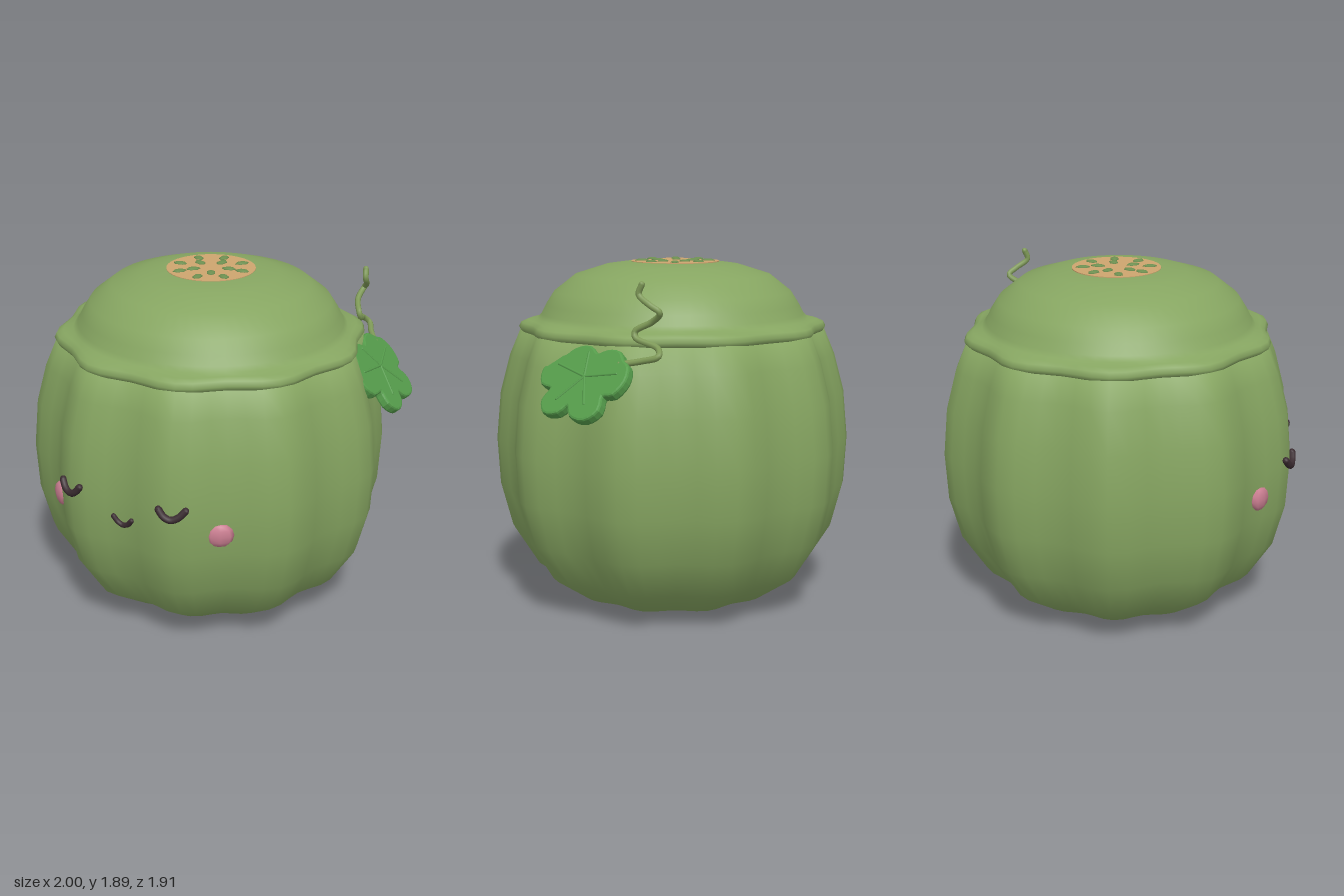
import * as THREE from 'three';
import { mergeVertices } from 'three/addons/utils/BufferGeometryUtils.js';

const mat = (name, color) => {
  const m = new THREE.MeshStandardMaterial({ color });
  m.name = name;
  return m;
};
const V = (x, y, z) => new THREE.Vector3(x, y, z);
const CX = -0.02, CZ = -0.02; // axis of the jar
const LOBES = 10;

// radius factor of the ribbed outline
const rib = (theta, depth) => 1 - depth * (1 - Math.cos(LOBES * theta)) / 2;

const BODY = [
  [0, 0], [0.32, 0], [0.56, 0.05], [0.77, 0.19], [0.905, 0.4], [0.968, 0.64],
  [0.982, 0.9], [0.957, 1.16], [0.9, 1.37], [0.84, 1.51], [0.7, 1.55],
];
const LID = [
  [0.7, 1.5], [0.8, 1.492], [0.836, 1.502], [0.848, 1.525], [0.835, 1.55], [0.8, 1.565],
  [0.745, 1.575], [0.72, 1.6], [0.695, 1.65], [0.65, 1.72], [0.535, 1.81],
  [0.37, 1.862], [0.24, 1.88], [0, 1.88],
];

// lathe whose radius follows the ribs; depth is a function of the radius
function ribbedLathe(profile, depth) {
  let geo = new THREE.LatheGeometry(profile.map(([r, y]) => new THREE.Vector2(r, y)), 60);
  const p = geo.attributes.position;
  for (let i = 0; i < p.count; i++) {
    const x = p.getX(i), z = p.getZ(i);
    const f = rib(Math.atan2(z, x), depth(Math.hypot(x, z)));
    p.setXYZ(i, x * f, p.getY(i), z * f);
  }
  geo.deleteAttribute('uv');
  geo.deleteAttribute('normal');
  geo = mergeVertices(geo, 1e-4);
  geo.computeVertexNormals();
  return geo;
}

// point on the front of the body at a given x and y
function onFront(x, y, lift = 0) {
  const i = BODY.findIndex((b) => b[1] > y);
  const [r0, y0] = BODY[i - 1], [r1, y1] = BODY[i];
  const R = r0 + (r1 - r0) * (y - y0) / (y1 - y0);
  const dx = x - CX;
  let z = R;
  for (let k = 0; k < 8; k++) {
    const r = R * rib(Math.atan2(z, dx), 0.075) + lift;
    z = Math.sqrt(r * r - dx * dx);
  }
  return V(x, y, z + CZ);
}

// tube with rounded ends
function cord(name, points, radius, material, segments = 20) {
  const g = new THREE.Group();
  g.name = name;
  const curve = new THREE.CatmullRomCurve3(points);
  g.add(new THREE.Mesh(new THREE.TubeGeometry(curve, segments, radius, 8), material));
  for (const end of [points[0], points[points.length - 1]]) {
    const cap = new THREE.Mesh(new THREE.SphereGeometry(radius, 8, 6), material);
    cap.position.copy(end);
    g.add(cap);
  }
  g.children.forEach((c) => { c.name = name + 'Part'; });
  return g;
}

export function createModel() {
  const model = new THREE.Group();
  model.name = 'melonJar';
  const green = mat('melon green', 0x86a561);
  const leafGreen = mat('leaf green', 0x559c4b);
  const vineGreen = mat('vine green', 0x7f9a58);
  const seedGreen = mat('seed green', 0x6c8f50);
  const tan = mat('tan', 0xcda46e);
  const pink = mat('blush pink', 0xc97d90);
  const dark = mat('dark brown', 0x3a2b30);
  const add = (name, geo, material, parent = model) => {
    const m = new THREE.Mesh(geo, material);
    m.name = name;
    parent.add(m);
    return m;
  };

  // jar and lid
  const body = add('body', ribbedLathe(BODY, () => 0.075), green);
  body.position.set(CX, 0, CZ);
  const lid = add('lid', ribbedLathe(LID, (r) => 0.055 * THREE.MathUtils.smoothstep(r, 0.72, 0.83)), green);
  lid.position.set(CX, 0, CZ);

  // tan patch with two rings of seeds
  const patch = add('topPatch', new THREE.CylinderGeometry(0.24, 0.24, 0.008, 40), tan);
  patch.position.set(-0.027, 1.879, -0.033);
  const seedGeo = new THREE.SphereGeometry(1, 6, 6);
  for (const [count, radius, start] of [[5, 0.1, -0.21], [8, 0.18, -0.12]]) {
    for (let i = 0; i < count; i++) {
      const a = start - i * 2 * Math.PI / count;
      const seed = add('seed', seedGeo, seedGreen);
      seed.position.set(-0.027 + radius * Math.cos(a), 1.882, -0.033 + radius * Math.sin(a));
      seed.rotation.y = -a;
      seed.scale.set(0.041, 0.012, 0.026);
    }
  }

  // face
  const smile = (name, x, y, w, h, r) => {
    const pts = [[-1, 1], [-0.55, 0.3], [0, 0], [0.55, 0.3], [1, 1]]
      .map(([u, v]) => onFront(x + u * w, y + v * h, 0.008));
    model.add(cord(name, pts, r, dark));
  };
  smile('mouth', -0.014, 0.753, 0.055, 0.042, 0.014);
  for (const s of [-1, 1]) {
    smile(s > 0 ? 'leftEye' : 'rightEye', -0.014 + s * 0.305, 0.876, 0.065, 0.05, 0.019);
    const cheek = add(s > 0 ? 'leftCheek' : 'rightCheek', new THREE.SphereGeometry(1, 8, 6), pink);
    cheek.position.copy(onFront(-0.014 + s * 0.488, 0.755));
    cheek.rotation.y = s * 0.6;
    cheek.scale.set(0.073, 0.066, 0.032);
  }

  // lobed leaf, tilted against the shoulder of the jar
  const leaf = new THREE.Group();
  leaf.name = 'leaf';
  leaf.position.set(0.815, 1.34, -0.4);
  leaf.lookAt(leaf.position.clone().add(V(0.74, 0.65, -0.12)));
  model.add(leaf);
  const outline = [
    [0, 0.15], [-0.08, 0.19], [-0.18, 0.17], [-0.22, 0.12], [-0.3, 0.1], [-0.325, 0.02], [-0.28, -0.06],
    [-0.19, -0.08], [-0.205, -0.16], [-0.15, -0.225], [-0.06, -0.215], [-0.01, -0.16],
    [0.05, -0.22], [0.15, -0.23], [0.21, -0.17], [0.185, -0.08], [0.25, -0.06],
    [0.28, 0.02], [0.25, 0.1], [0.2, 0.13], [0.14, 0.18], [0.06, 0.18],
  ].map(([x, y]) => V(x * 0.95, y * 0.95, 0));
  const smooth = new THREE.CatmullRomCurve3(outline, true).getPoints(66).slice(0, -1);
  const leafGeo = new THREE.ExtrudeGeometry(
    new THREE.Shape(smooth.map((p) => new THREE.Vector2(p.x, p.y))),
    { depth: 0.03, bevelEnabled: true, bevelThickness: 0.012, bevelSize: 0.012, bevelSegments: 2 });
  add('leafBlade', leafGeo, leafGreen, leaf).position.z = -0.02;
  for (const [x, y] of [[-0.22, 0.06], [-0.1, -0.14], [0.1, -0.14], [0.2, 0.05], [-0.06, 0.15]]) {
    leaf.add(cord('leafVein', [V(0, 0.01, 0.021), V(x, y, 0.021)], 0.007, leafGreen, 2));
  }

  // curling tendril
  model.add(cord('tendril', [
    V(0.72, 1.43, -0.56), V(0.655, 1.45, -0.65), V(0.61, 1.475, -0.725), V(0.585, 1.51, -0.69),
    V(0.625, 1.555, -0.56), V(0.62, 1.585, -0.55), V(0.575, 1.635, -0.63), V(0.58, 1.685, -0.7),
    V(0.61, 1.72, -0.66), V(0.63, 1.77, -0.595), V(0.622, 1.82, -0.61),
  ], 0.016, vineGreen, 60));

  return model;
}
